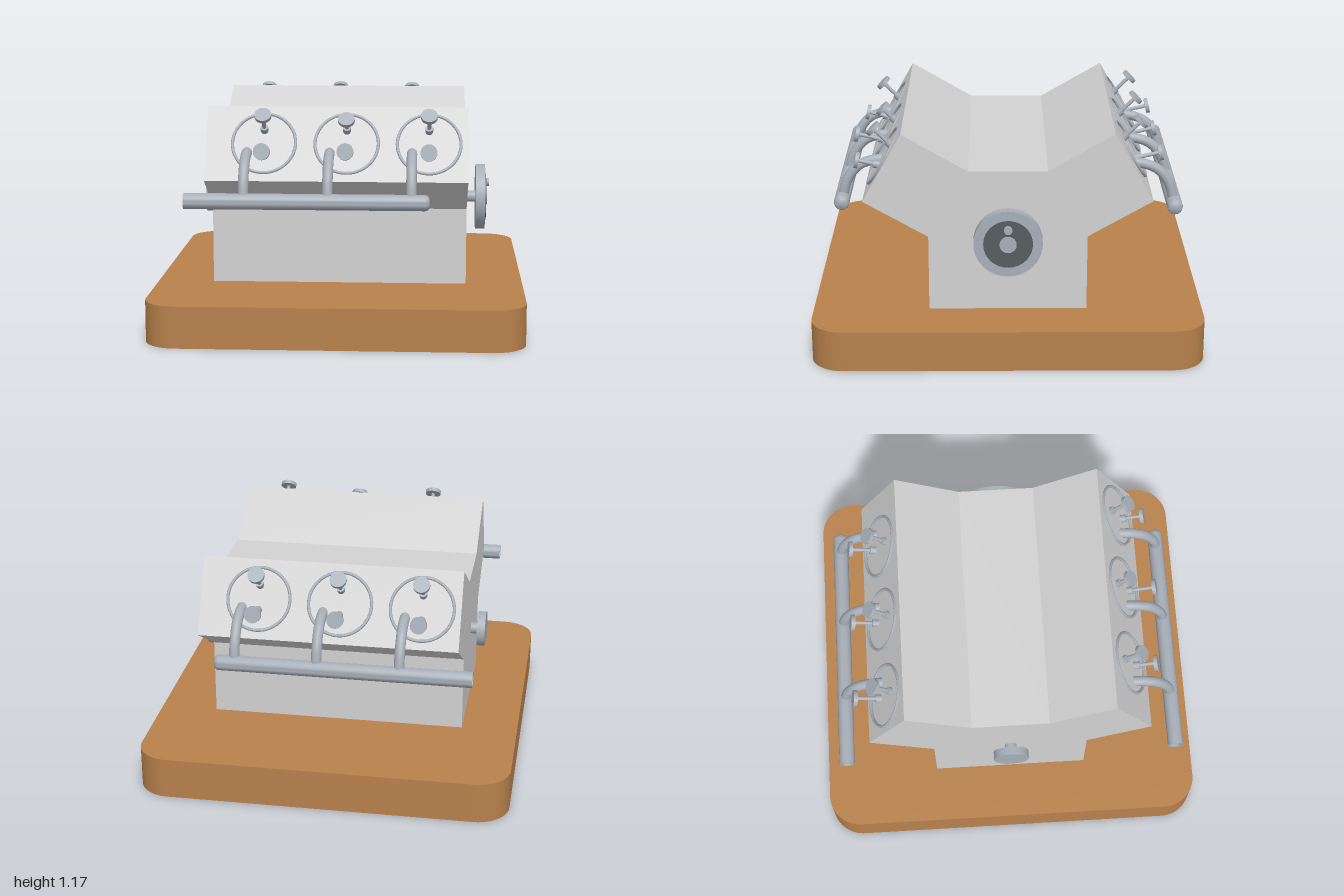
import * as THREE from 'three';
import { toCreasedNormals } from 'three/addons/utils/BufferGeometryUtils.js';

const paint = (name, color, side = THREE.FrontSide) => {
  const m = new THREE.MeshStandardMaterial({ color, side });
  m.name = name;
  return m;
};

export function createModel() {
  const wood = paint('wood', 0xb8814c);
  const block = paint('castBlock', 0xd2d2d2);
  const steel = paint('steel', 0xa8afb8);
  const dark = paint('darkSteel', 0x565c61);

  const model = new THREE.Group();
  model.name = 'engineModel';

  const add = (parent, name, geometry, material, x = 0, y = 0, z = 0) => {
    const mesh = new THREE.Mesh(geometry, material);
    mesh.name = name;
    mesh.position.set(x, y, z);
    parent.add(mesh);
    return mesh;
  };

  // Disc or rod lying along x, from x0 to x1
  const along = (parent, name, r, x0, x1, y, z, material) => {
    const mesh = add(parent, name, new THREE.CylinderGeometry(r, r, Math.abs(x1 - x0), 40), material, (x0 + x1) / 2, y, z);
    mesh.rotation.z = Math.PI / 2;
    return mesh;
  };

  // Wooden base with rounded corners
  const w = 0.955, d = 1, r = 0.17;
  const plan = new THREE.Shape();
  plan.absarc(w - r, d - r, r, 0, Math.PI / 2);
  plan.absarc(-w + r, d - r, r, Math.PI / 2, Math.PI);
  plan.absarc(-w + r, -d + r, r, Math.PI, Math.PI * 1.5);
  plan.absarc(w - r, -d + r, r, Math.PI * 1.5, Math.PI * 2);
  const baseGeo = new THREE.ExtrudeGeometry(plan, { depth: 0.213, bevelEnabled: false, curveSegments: 12 });
  baseGeo.rotateX(-Math.PI / 2);
  add(model, 'base', toCreasedNormals(baseGeo, 0.6), wood);

  // V-shaped engine block, extruded along x
  const half = [[0.405, 0.213], [0.405, 0.61], [0.735, 0.8], [0.535, 1.155], [0.2, 0.96]];
  const outline = [...half, ...half.map(([z, y]) => [-z, y]).reverse()];
  const section = new THREE.Shape(outline.map(([z, y]) => new THREE.Vector2(z, y)));
  const blockGeo = new THREE.ExtrudeGeometry(section, { depth: 1.325, bevelEnabled: false });
  blockGeo.rotateY(-Math.PI / 2);
  blockGeo.translate(0.66, 0, 0);
  add(model, 'engineBlock', blockGeo, block);

  // Valve with guide, stem and round head, tilted up from the horizontal
  const addValve = (parent, name, x, y, z, degrees, length) => {
    const valve = new THREE.Group();
    valve.name = name;
    valve.position.set(x, y, z);
    valve.rotation.x = THREE.MathUtils.degToRad(90 - degrees);
    add(valve, 'valveGuide', new THREE.CylinderGeometry(0.02, 0.02, 0.05, 20), steel, 0, 0, 0);
    add(valve, 'valveStem', new THREE.CylinderGeometry(0.01, 0.01, length, 16), steel, 0, length / 2, 0);
    add(valve, 'valveHead', new THREE.CylinderGeometry(0.042, 0.042, 0.02, 32), steel, 0, length, 0);
    parent.add(valve);
  };

  // Everything mounted on one bank of cylinders, facing +z
  const makeBank = (name, centres, openX, closedX, upper, lower) => {
    const bank = new THREE.Group();
    bank.name = name;
    centres.forEach((x, i) => {
      const ring = add(bank, 'cylinderRing', new THREE.TorusGeometry(0.16, 0.008, 8, 56), steel, x, 0.98, 0.638);
      ring.rotation.x = -Math.PI / 6;
      addValve(bank, 'upperValve', x, 1.04, 0.6, 45, upper[i]);
      addValve(bank, 'lowerValve', x, 0.93, 0.665, 13, lower[i]);

      // Curved runner from the bank down to the manifold
      const rx = x - 0.085;
      const path = new THREE.CatmullRomCurve3([
        [0.935, 0.64], [0.925, 0.71], [0.895, 0.775], [0.82, 0.832], [0.72, 0.86],
      ].map(([y, z]) => new THREE.Vector3(rx, y, z)));
      add(bank, 'exhaustRunner', new THREE.TubeGeometry(path, 24, 0.026, 18), steel);
    });

    // Manifold pipe: hollow at one end, domed at the other
    const length = Math.abs(closedX - openX);
    const profile = [[0, 0.1], [0.033, 0.1], [0.033, 0], [0.04, 0], [0.04, length - 0.025],
      [0.037, length - 0.012], [0.028, length - 0.003], [0, length]];
    const pipeGeo = new THREE.LatheGeometry(profile.map(([a, b]) => new THREE.Vector2(a, b)), 32);
    const pipe = add(bank, 'exhaustManifold', toCreasedNormals(pipeGeo, 0.8), steel, openX, 0.718, 0.86);
    pipe.rotation.z = closedX > openX ? -Math.PI / 2 : Math.PI / 2;
    model.add(bank);
    return bank;
  };
  makeBank('frontBank', [-0.37, 0.048, 0.463], -0.75, 0.47, [0.12, 0.09, 0.12], [0.11, 0.14, 0.11]);
  makeBank('backBank', [0.47, 0.055, -0.36], 0.75, -0.545, [0.125, 0.13, 0.125], [0.13, 0.13, 0.13])
    .rotation.y = Math.PI;

  // Flywheel on the right-hand end of the shaft
  const y = 0.61;
  const wheel = new THREE.Group();
  wheel.name = 'flywheel';
  along(wheel, 'flywheelShaft', 0.03, 0.65, 0.72, y, 0, steel);
  along(wheel, 'flywheelRim', 0.175, 0.715, 0.765, y, 0, steel);
  along(wheel, 'flywheelFace', 0.125, 0.764, 0.771, y, 0, dark);
  along(wheel, 'flywheelHub', 0.043, 0.765, 0.778, y, 0, steel);
  along(wheel, 'flywheelPin', 0.021, 0.765, 0.787, 0.689, 0, steel);
  model.add(wheel);

  // Small pulley on the other end
  const pulley = new THREE.Group();
  pulley.name = 'pulley';
  along(pulley, 'pulleyShaft', 0.03, -0.71, -0.65, y, 0, steel);
  along(pulley, 'pulleyDisc', 0.092, -0.745, -0.702, y, 0, steel);
  model.add(pulley);

  return model;
}
